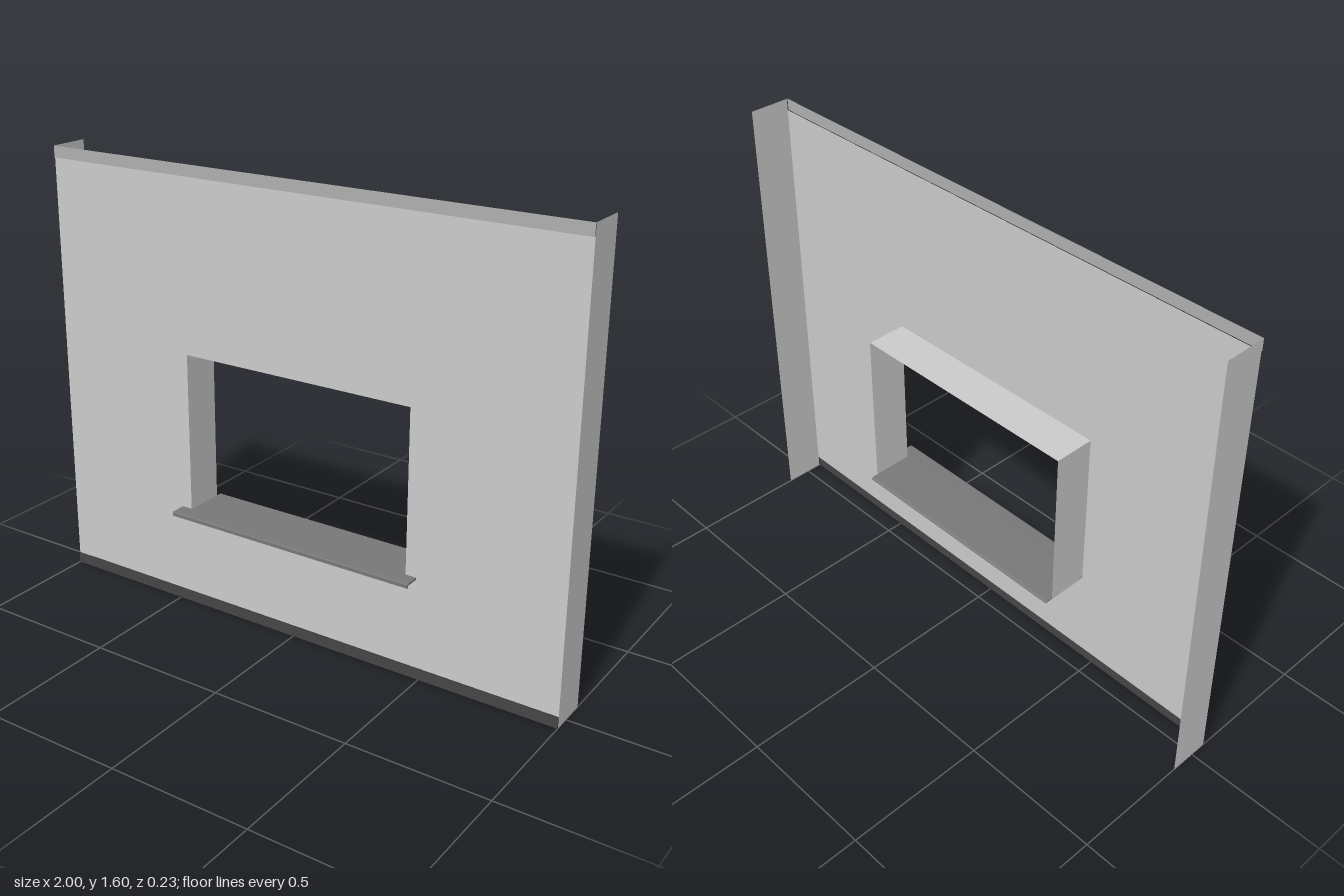
import * as THREE from 'three';

const grey = new THREE.MeshStandardMaterial({ color: 0xcccccc, side: THREE.DoubleSide });
const trimGrey = new THREE.MeshStandardMaterial({ color: 0xafafaf, side: THREE.DoubleSide });
const dark = new THREE.MeshStandardMaterial({ color: 0x454545, side: THREE.DoubleSide });
const sillGrey = new THREE.MeshStandardMaterial({ color: 0x787878, side: THREE.DoubleSide });

const H = 1.6, FRONT = 0.058, BACK = -0.088;
const WIN = { x: 0.44, bottom: 0.362, top: 0.946 };
const STRIP = 0.041;

export function createModel() {
  const model = new THREE.Group();
  const add = (name, geometry, material, x = 0, y = 0, z = 0) => {
    const mesh = new THREE.Mesh(geometry, material);
    mesh.name = name;
    mesh.position.set(x, y, z);
    model.add(mesh);
    return mesh;
  };
  const depth = FRONT - BACK, midZ = (FRONT + BACK) / 2;

  // Thin wall face with the window opening
  const face = new THREE.Shape([[-1, STRIP], [1, STRIP], [1, H - STRIP], [-1, H - STRIP]]
    .map(([x, y]) => new THREE.Vector2(x, y)));
  face.holes.push(new THREE.Path([[-WIN.x, WIN.bottom], [-WIN.x, WIN.top], [WIN.x, WIN.top], [WIN.x, WIN.bottom]]
    .map(([x, y]) => new THREE.Vector2(x, y))));
  add('wallFace', new THREE.ShapeGeometry(face), grey, 0, 0, FRONT);

  // Trim strips, standing slightly proud of the face
  add('topStrip', new THREE.PlaneGeometry(2, STRIP), trimGrey, 0, H - STRIP / 2, FRONT + 0.003);
  add('baseStrip', new THREE.PlaneGeometry(2, STRIP), dark, 0, STRIP / 2, FRONT + 0.003);

  // Side returns of the wall and window reveals
  const winH = WIN.top - WIN.bottom;
  for (const [side, s] of [['left', 1], ['right', -1]]) {
    add(side + 'Return', new THREE.PlaneGeometry(depth, H), grey, s, H / 2, midZ).rotation.y = s * Math.PI / 2;
    add(side + 'Reveal', new THREE.PlaneGeometry(depth, winH), grey,
      s * WIN.x, WIN.bottom + winH / 2, midZ).rotation.y = -s * Math.PI / 2;
  }
  for (const [name, y] of [['lintelReveal', WIN.top], ['bottomReveal', WIN.bottom]])
    add(name, new THREE.PlaneGeometry(2 * WIN.x, depth), grey, 0, y, midZ).rotation.x = -Math.PI / 2;

  // Sill profiles are drawn as (z, y) and extruded along x
  const sill = (name, points, width) => {
    const shape = new THREE.Shape(points.map(([z, y]) => new THREE.Vector2(-z, y)));
    const geometry = new THREE.ExtrudeGeometry(shape, { depth: width, bevelEnabled: false });
    geometry.rotateY(Math.PI / 2).translate(-width / 2, 0, 0);
    add(name, geometry, sillGrey);
  };
  // Outer sill with a drip lip, wider than the opening
  sill('outerSill', [[FRONT, 0.363], [FRONT, 0.37], [0.111, 0.37], [0.115, 0.367],
    [0.115, 0.355], [0.109, 0.355], [0.109, 0.363]], 0.96);
  // Inner sill board running through the opening with a small back nosing
  sill('innerSill', [[FRONT, 0.364], [FRONT, 0.37], [-0.108, 0.368], [-0.115, 0.362],
    [-0.115, 0.36], [-0.107, 0.364]], 2 * WIN.x);

  return model;
}
